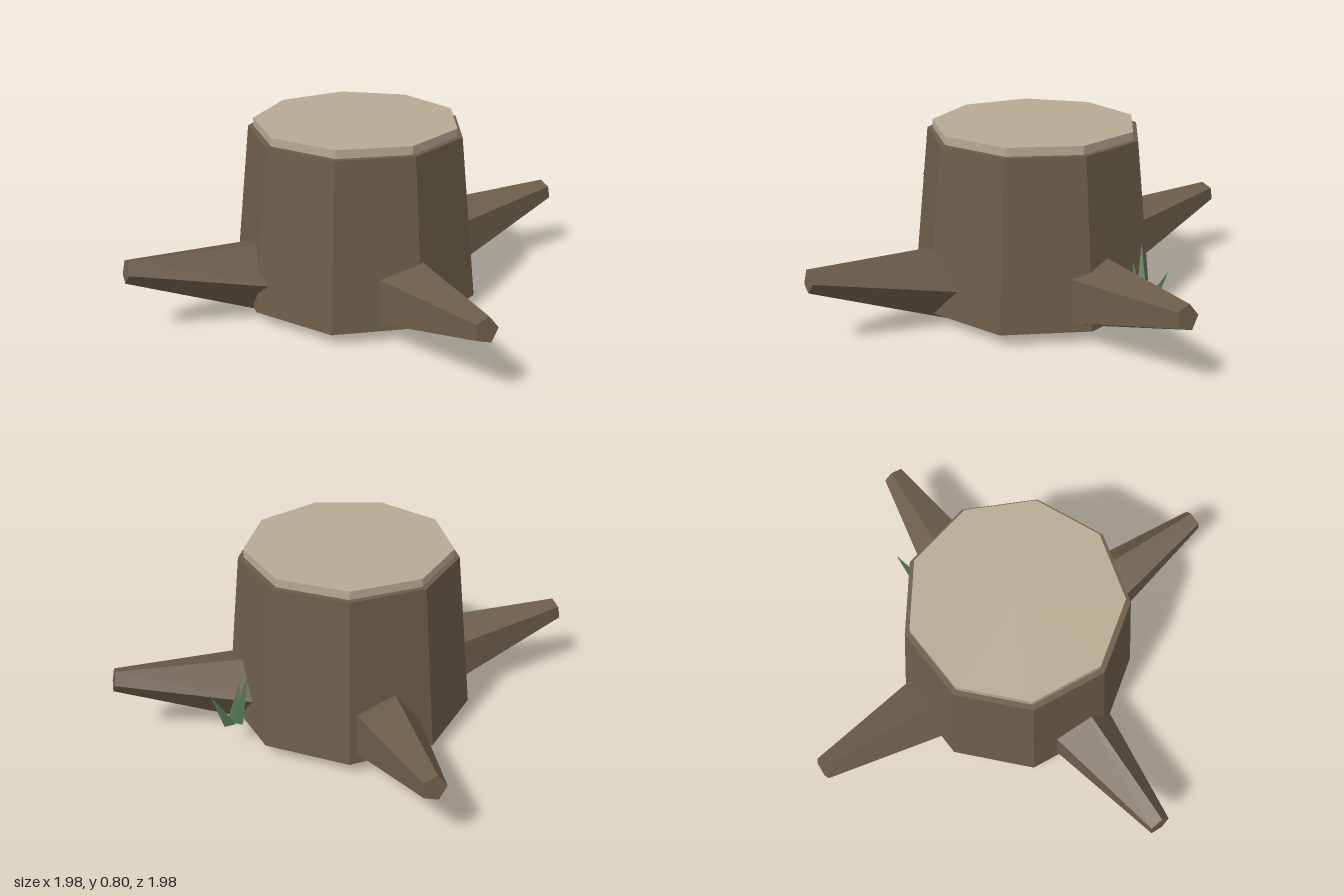
import * as THREE from 'three';

const bark = new THREE.MeshStandardMaterial({ color: 0x6b5c48, flatShading: true });
bark.name = 'bark';
const cutWood = new THREE.MeshStandardMaterial({ color: 0xb8aa92, flatShading: true });
cutWood.name = 'cutWood';
const grassGreen = new THREE.MeshStandardMaterial({ color: 0x557a55, flatShading: true });
grassGreen.name = 'grassGreen';

const UP = new THREE.Vector3(0, 1, 0);

// Nine-sided drum with one corner pointing to the back
function drum(name, rTop, rBottom, y0, y1, material) {
  const geo = new THREE.CylinderGeometry(rTop, rBottom, y1 - y0, 9);
  geo.rotateY(Math.PI);
  const mesh = new THREE.Mesh(geo, material);
  mesh.name = name;
  mesh.position.set(0, (y0 + y1) / 2, -0.007);
  return mesh;
}

// Five-sided tapered root, rising outwards along +z, flat side towards -x
function root() {
  const base = new THREE.Vector3(0, 0.165, 0.38);
  const tip = new THREE.Vector3(0, 0.307, 1.017);
  const geo = new THREE.CylinderGeometry(0.05, 0.176, base.distanceTo(tip), 5);
  geo.rotateY(Math.PI / 2); // first corner on +x
  geo.rotateX(Math.PI / 2 - Math.atan2(tip.y - base.y, tip.z - base.z));
  geo.translate(0, (base.y + tip.y) / 2, (base.z + tip.z) / 2);
  return new THREE.Mesh(geo, bark);
}

// Three-sided blade from its foot to its tip
function blade(foot, tip, radius) {
  const a = new THREE.Vector3(...foot);
  const dir = new THREE.Vector3(...tip).sub(a);
  const geo = new THREE.ConeGeometry(radius, dir.length(), 3);
  geo.translate(0, dir.length() / 2, 0);
  const mesh = new THREE.Mesh(geo, grassGreen);
  mesh.position.copy(a);
  mesh.quaternion.setFromUnitVectors(UP, dir.normalize());
  return mesh;
}

export function createModel() {
  const model = new THREE.Group();
  model.name = 'treeStump';

  // Trunk and sawn top
  model.add(drum('trunk', 0.46, 0.541, 0.06, 0.765, bark));
  model.add(drum('sawnTop', 0.437, 0.437, 0.765, 0.8, cutWood));

  // Four roots a quarter turn apart
  const roots = new THREE.Group();
  roots.name = 'roots';
  for (let i = 0; i < 4; i++) {
    const r = root();
    r.name = 'root' + (i + 1);
    r.rotation.y = THREE.MathUtils.degToRad(16.8 + 90 * i);
    roots.add(r);
  }
  model.add(roots);

  // Small tuft of grass beside the left root
  const tuft = new THREE.Group();
  tuft.name = 'grassTuft';
  const blades = [
    [[0.47, 0.12, -0.335], [0.41, 0.37, -0.345], 0.028],
    [[0.49, 0.12, -0.315], [0.45, 0.31, -0.295], 0.026],
    [[0.5, 0.12, -0.345], [0.565, 0.3, -0.4], 0.028],
  ];
  blades.forEach(([foot, tip, radius], i) => {
    const b = blade(foot, tip, radius);
    b.name = 'blade' + (i + 1);
    tuft.add(b);
  });
  model.add(tuft);

  return model;
}
